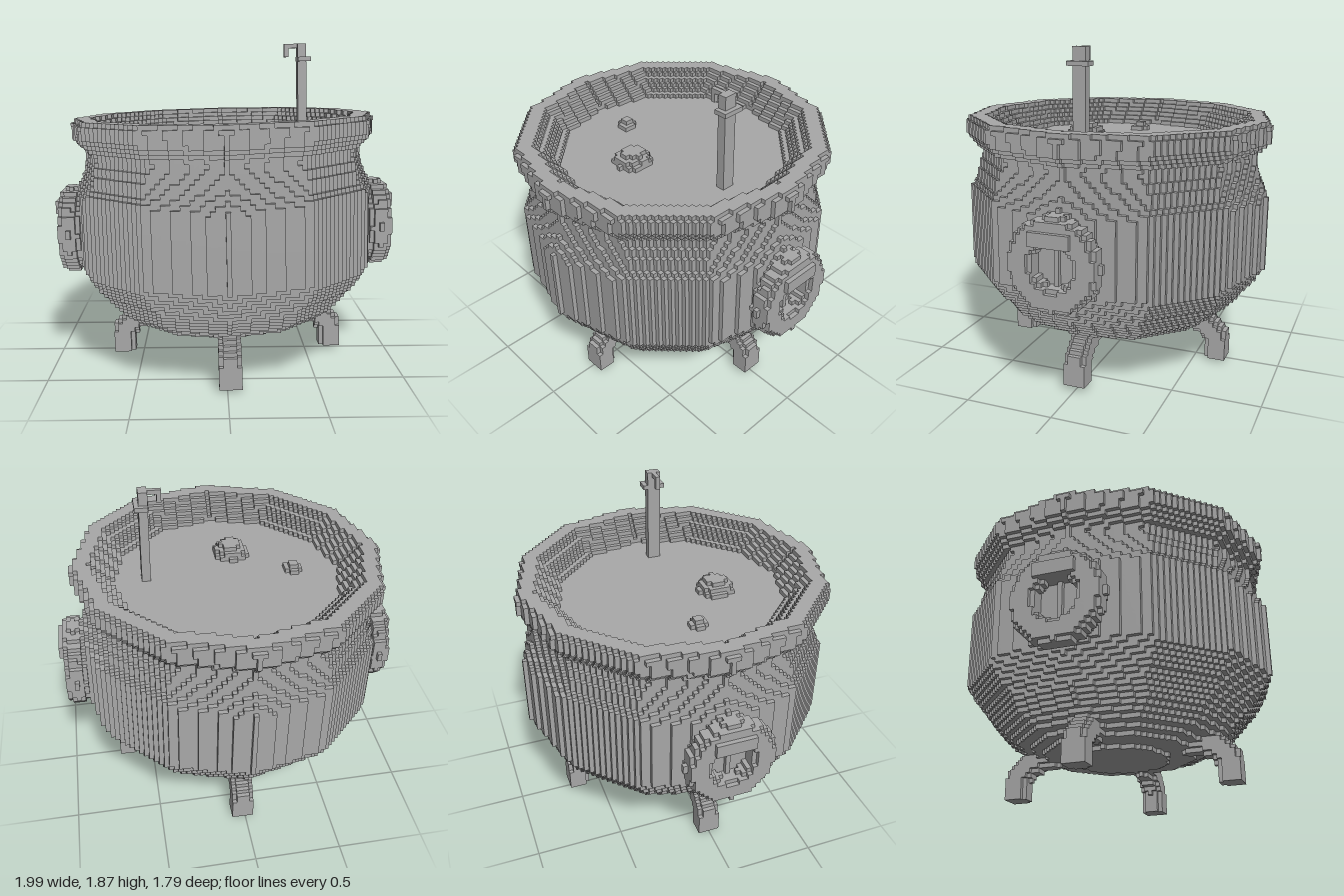
import * as THREE from 'three';

const V = 0.0252; // block size
const FACES = [
  { n: [1, 0, 0], c: [[1, 0, 0], [1, 1, 0], [1, 1, 1], [1, 0, 1]] },
  { n: [-1, 0, 0], c: [[0, 0, 1], [0, 1, 1], [0, 1, 0], [0, 0, 0]] },
  { n: [0, 1, 0], c: [[0, 1, 0], [0, 1, 1], [1, 1, 1], [1, 1, 0]] },
  { n: [0, -1, 0], c: [[0, 0, 1], [0, 0, 0], [1, 0, 0], [1, 0, 1]] },
  { n: [0, 0, 1], c: [[0, 0, 1], [1, 0, 1], [1, 1, 1], [0, 1, 1]] },
  { n: [0, 0, -1], c: [[1, 0, 0], [0, 0, 0], [0, 1, 0], [1, 1, 0]] },
];

// Blocky geometry: fills grid cells whose centre is inside, keeps exposed faces only
function blocks(min, max, inside) {
  const lo = [0, 1, 2].map(a => Math.floor(min[a] / V) - 1);
  const size = [0, 1, 2].map(a => Math.ceil(max[a] / V) + 2 - lo[a]);
  const grid = new Uint8Array(size[0] * size[1] * size[2]);
  const at = (i, j, k) => (i * size[1] + j) * size[2] + k;
  const each = fn => {
    for (let i = 1; i < size[0] - 1; i++)
      for (let j = 1; j < size[1] - 1; j++)
        for (let k = 1; k < size[2] - 1; k++) fn(i, j, k);
  };
  each((i, j, k) => {
    const y = lo[1] + j;
    if (y >= 0 && inside((lo[0] + i) * V, (y + 0.5) * V, (lo[2] + k) * V)) grid[at(i, j, k)] = 1;
  });
  const pos = [], nor = [], idx = [];
  each((i, j, k) => {
    if (!grid[at(i, j, k)]) return;
    for (const { n, c } of FACES) {
      if (grid[at(i + n[0], j + n[1], k + n[2])]) continue;
      const b = pos.length / 3;
      for (const p of c) {
        pos.push((lo[0] + i + p[0] - 0.5) * V, (lo[1] + j + p[1]) * V, (lo[2] + k + p[2] - 0.5) * V);
        nor.push(...n);
      }
      idx.push(b, b + 1, b + 2, b, b + 2, b + 3);
    }
  });
  const g = new THREE.BufferGeometry();
  g.setAttribute('position', new THREE.Float32BufferAttribute(pos, 3));
  g.setAttribute('normal', new THREE.Float32BufferAttribute(nor, 3));
  g.setIndex(idx);
  return g;
}

// Radius of the twelve-sided ring through a point, measured at its corners
function ringRadius(x, z) {
  const step = Math.PI / 6;
  const a = Math.atan2(z, x);
  const off = a - (Math.floor(a / step) + 0.5) * step;
  return Math.hypot(x, z) * Math.cos(off) / Math.cos(step / 2);
}

// Linear lookup of radius in a list of [height, radius]
function profile(points, y) {
  for (let i = 1; i < points.length; i++) {
    const [y0, r0] = points[i - 1], [y1, r1] = points[i];
    if (y >= y0 && y <= y1) return r0 + (r1 - r0) * (y - y0) / (y1 - y0);
  }
  return -1;
}

// Distance from (u, v) to a polyline
function pathDistance(path, u, v) {
  let best = Infinity;
  for (let i = 1; i < path.length; i++) {
    const [a, b] = path[i - 1], du = path[i][0] - a, dv = path[i][1] - b;
    const t = Math.min(1, Math.max(0, ((u - a) * du + (v - b) * dv) / (du * du + dv * dv)));
    best = Math.min(best, Math.hypot(u - a - t * du, v - b - t * dv));
  }
  return best;
}

export function createModel() {
  const iron = new THREE.MeshStandardMaterial({ color: 0xa8a8a8 });
  iron.name = 'grey iron';
  const model = new THREE.Group();
  model.name = 'cauldron';
  const pot = new THREE.Group();
  pot.name = 'tiltedPot';
  pot.position.set(0.018, 0.016, 0);
  pot.rotation.z = 0.022;
  model.add(pot);

  const add = (name, min, max, inside) => {
    const mesh = new THREE.Mesh(blocks(min, max, inside), iron);
    mesh.name = name;
    pot.add(mesh);
  };
  const box = (name, x0, x1, y0, y1, z0, z1) =>
    add(name, [x0, y0, z0], [x1, y1, z1], (x, y, z) =>
      x > x0 && x < x1 && y > y0 && y < y1 && z > z0 && z < z1);

  // Pot wall, rim with sloping inside, and the liquid surface
  const outer = [[0.17, 0.22], [0.185, 0.25], [0.21, 0.42], [0.265, 0.58], [0.305, 0.65],
    [0.385, 0.73], [0.485, 0.81], [0.59, 0.885], [0.99, 0.885], [1.09, 0.84], [1.19, 0.81],
    [1.24, 0.805], [1.27, 0.83], [1.32, 0.885], [1.40, 0.89], [1.44, 0.86]];
  const water = 51 * V;
  const inner = [[water, 0.65], [1.44, 0.80]];
  add('body', [-0.95, 0.15, -0.95], [0.95, 1.5, 0.95], (x, y, z) => {
    const r = ringRadius(x, z);
    return r <= profile(outer, y) && (y < water || r > profile(inner, y));
  });

  // Bubbles on the liquid
  const bubble = (name, cx, cz, r, sink) =>
    add(name, [cx - r, water, cz - r], [cx + r, water + r, cz + r], (x, y, z) =>
      y > water && Math.hypot(x - cx, y - water + sink, z - cz) < r);
  bubble('largeBubble', -0.06, 0.25, 0.112, 0.03);
  bubble('smallBubble', -0.388, 0.02, 0.056, 0.012);

  // Four curved legs
  const legPath = [[0.635, -0.1], [0.635, 0.12], [0.57, 0.2], [0.5, 0.235], [0.35, 0.26]];
  const leg = (u, y, w) => Math.hypot(pathDistance(legPath, u, y), w) < 0.068;
  for (const s of [1, -1]) {
    const range = [Math.min(0.3 * s, 0.75 * s), Math.max(0.3 * s, 0.75 * s)];
    add(s > 0 ? 'leftLeg' : 'rightLeg', [range[0], 0, -0.1], [range[1], 0.35, 0.1],
      (x, y, z) => leg(x * s, y, z));
    add(s > 0 ? 'frontLeg' : 'backLeg', [-0.1, 0, range[0]], [0.1, 0.35, range[1]],
      (x, y, z) => leg(z * s, y, x));
  }

  // Ring handles with a clasp at the top
  for (const s of [1, -1]) {
    const side = s > 0 ? 'left' : 'right';
    add(side + 'Handle', s > 0 ? [0.8, 0.5, -0.3] : [-1.05, 0.5, -0.3],
      s > 0 ? [1.05, 1.1, 0.3] : [-0.8, 1.1, 0.3], (x, y, z) => {
        const ring = Math.hypot(y - 0.775, z);
        return Math.hypot(ring - 0.185, x * s - 0.91) < 0.068;
      });
    const x0 = 0.82, x1 = 39.5 * V;
    box(side + 'Clasp', s > 0 ? x0 : -x1, s > 0 ? x1 : -x0, 0.88, 0.96, -0.11, 0.11);
  }

  // Standing ladle: shaft, crosspiece and hooked end
  box('ladleShaft', 0.44, 0.49, water, 73 * V, 0.013, 0.088);
  box('ladleCrosspiece', 0.44, 0.515, 69 * V, 70 * V, -0.013, 0.113);
  box('ladleHook', 0.365, 0.49, 72 * V, 73 * V, 0.038, 0.063);
  box('ladleTip', 0.365, 0.39, 70 * V, 73 * V, 0.038, 0.063);

  return model;
}
